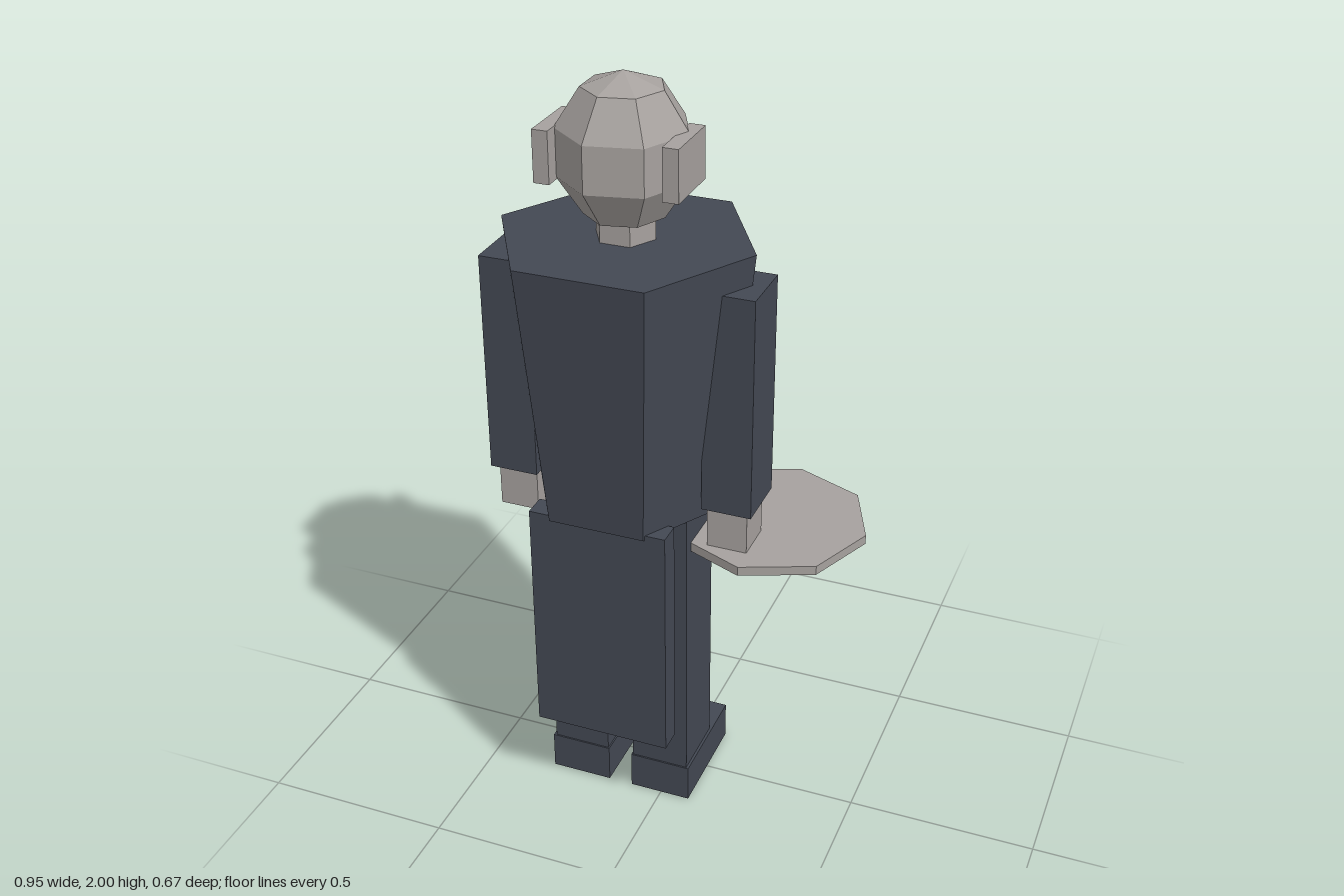
import * as THREE from 'three';

export function createModel() {
  const root = new THREE.Group();
  root.name = 'waiter';
  const suit = new THREE.MeshStandardMaterial({ name: 'darkSuit', color: 0x434853, flatShading: true });
  const pale = new THREE.MeshStandardMaterial({ name: 'paleGrey', color: 0xa6a19e, flatShading: true });

  // The figure stands on this axis; the tray reaches out to one side
  const CX = -0.12, CZ = 0.047;

  const add = (name, geometry, material, x, y, z) => {
    const mesh = new THREE.Mesh(geometry, material);
    mesh.name = name;
    mesh.position.set(x, y, z);
    root.add(mesh);
    return mesh;
  };
  // Box from its minimum and maximum on each axis
  const box = (name, material, [x0, x1], [y0, y1], [z0, z1]) =>
    add(name, new THREE.BoxGeometry(x1 - x0, y1 - y0, z1 - z0), material,
      (x0 + x1) / 2, (y0 + y1) / 2, (z0 + z1) / 2);
  // Two boxes mirrored about the body axis; x is measured from that axis
  const pair = (name, material, [x0, x1], y, z) => {
    box('left' + name, material, [CX + x0, CX + x1], y, z);
    box('right' + name, material, [CX - x1, CX - x0], y, z);
  };

  // Torso and neck: hexagonal prisms with a corner on each side
  add('torso', new THREE.CylinderGeometry(0.328, 0.253, 0.702, 6), suit, CX, 1.247, CZ)
    .rotation.y = Math.PI / 6;
  add('neck', new THREE.CylinderGeometry(0.077, 0.077, 0.12, 6), pale, CX, 1.62, CZ)
    .rotation.y = Math.PI / 6;

  // Head: seven-sided low-poly ball, a little taller than wide
  const head = add('head', new THREE.SphereGeometry(0.19, 7, 5), pale, CX, 1.81, CZ);
  head.scale.set(0.9, 1, 0.9);
  head.rotation.y = Math.PI;
  pair('Ear', pale, [0.14, 0.18], [1.745, 1.875], [-0.005, 0.163]);
  box('nose', pale, [-0.147, -0.094], [1.755, 1.825], [-0.166, -0.06]);

  // Arms and hands
  pair('Arm', suit, [0.225, 0.355], [0.93, 1.52], [-0.032, 0.127]);
  pair('Hand', pale, [0.234, 0.339], [0.813, 0.95], [-0.006, 0.108]);

  // Legs and shoes
  pair('Leg', suit, [0.037, 0.193], [0.09, 0.91], [-0.037, 0.143]);
  pair('Shoe', suit, [0.033, 0.2], [0, 0.105], [-0.15, 0.147]);

  // Hanging coat panel, shirt front and bow tie
  box('coatPanel', suit, [-0.303, 0.062], [0.26, 0.91], [0.2, 0.263]);
  box('shirtFront', pale, [-0.194, -0.046], [1.143, 1.48], [-0.225, -0.205]);
  box('bowTie', suit, [-0.205, -0.035], [1.475, 1.55], [-0.249, -0.2]);

  // Octagonal tray under the left hand
  add('tray', new THREE.CylinderGeometry(0.255, 0.255, 0.025, 8), pale, 0.22, 0.802, -0.08);

  return root;
}
